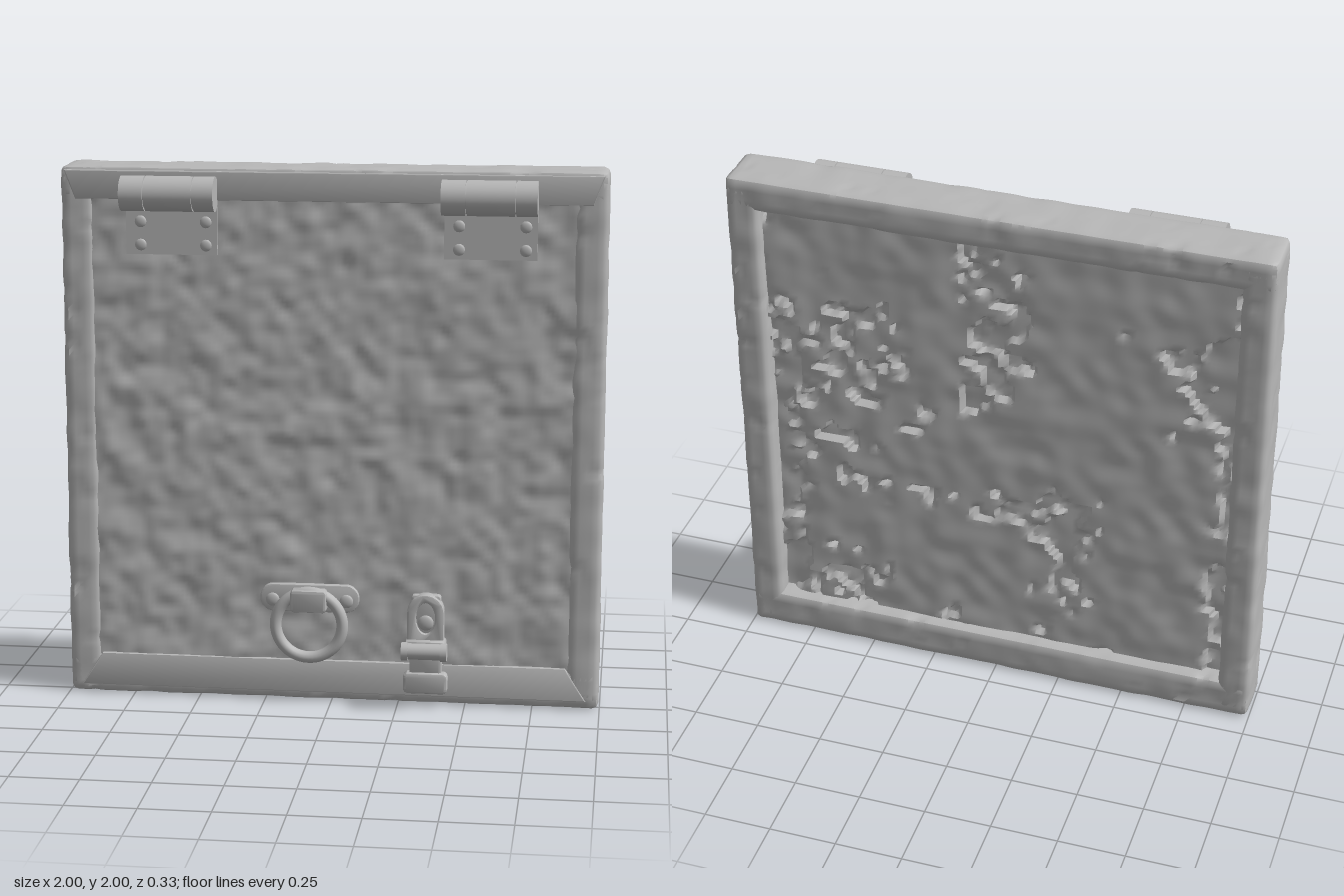
import * as THREE from 'three';
import { mergeVertices, toCreasedNormals } from 'three/addons/utils/BufferGeometryUtils.js';

const steel = new THREE.MeshStandardMaterial({ color: 0xb8b8b8 });
steel.name = 'grey metal';

// Seeded value noise, -1..1
function hash(i, j, k) {
  const s = Math.sin(i * 127.1 + j * 311.7 + k * 74.7) * 43758.5453;
  return (s - Math.floor(s)) * 2 - 1;
}
function noise(x, y, z) {
  const i = Math.floor(x), j = Math.floor(y), k = Math.floor(z);
  const f = (t) => t * t * (3 - 2 * t);
  const u = f(x - i), v = f(y - j), w = f(z - k);
  const mix = THREE.MathUtils.lerp;
  const plane = (c) => mix(
    mix(hash(i, j, c), hash(i + 1, j, c), u),
    mix(hash(i, j + 1, c), hash(i + 1, j + 1, c), u), v);
  return mix(plane(k), plane(k + 1), w);
}

function add(group, name, geometry, x = 0, y = 0, z = 0) {
  const mesh = new THREE.Mesh(geometry, steel);
  mesh.name = name;
  mesh.position.set(x, y, z);
  group.add(mesh);
  return mesh;
}

// Finely divided box whose vertices are moved by a rule, then smoothed
function mouldedBox(size, segments, rule) {
  let g = new THREE.BoxGeometry(...size, ...segments);
  g.deleteAttribute('uv');
  g.deleteAttribute('normal');
  g = mergeVertices(g);
  const p = g.attributes.position, v = new THREE.Vector3();
  for (let i = 0; i < p.count; i++) {
    rule(v.fromBufferAttribute(p, i));
    p.setXYZ(i, v.x, v.y, v.z);
  }
  return toCreasedNormals(g, 0.7);
}

// Frame rail with softened edges, small dents and chips
function rail(group, name, w, h, x, y) {
  const depth = 0.208, r = 0.024;
  const inner = new THREE.Vector3(w / 2 - r, h / 2 - r, depth / 2 - r);
  const low = inner.clone().negate();
  const seg = [w, h, depth].map((s) => Math.max(6, Math.round(s / 0.022)));
  const core = new THREE.Vector3();
  const g = mouldedBox([w, h, depth], seg, (v) => {
    core.copy(v).clamp(low, inner);
    v.sub(core);
    if (v.length() > r) v.setLength(r);
    const n = noise((core.x + x) * 13 + 5, (core.y + y) * 13, core.z * 13);
    const chip = Math.max(0, noise((core.x + x) * 22, (core.y + y) * 22 + 7, core.z * 22) - 0.5);
    v.multiplyScalar(1 + 0.14 * n - 0.9 * chip).add(core);
  });
  add(group, name, g, x, y, -0.061);
}

// Rounded outline centred on the origin
function roundedShape(w, h, r) {
  const s = new THREE.Shape(), a = w / 2 - r, b = h / 2 - r;
  s.absarc(a, b, r, 0, Math.PI / 2);
  s.absarc(-a, b, r, Math.PI / 2, Math.PI);
  s.absarc(-a, -b, r, Math.PI, Math.PI * 1.5);
  s.absarc(a, -b, r, Math.PI * 1.5, Math.PI * 2);
  s.closePath();
  return s;
}
function plate(shape, depth, bevel = 0.006) {
  return toCreasedNormals(new THREE.ExtrudeGeometry(shape, {
    depth: depth - bevel, bevelSize: bevel, bevelThickness: bevel,
    bevelOffset: -bevel, bevelSegments: 2, curveSegments: 10,
  }), 0.7);
}
function block(w, h, d, r = 0.012) {
  return plate(roundedShape(w, h, r), d, Math.min(0.01, r * 0.8));
}

// Mitred skin on the front of a rail
function lip(group, name, innerX, innerY, outerX, outerY) {
  const pts = [[-innerX, innerY], [innerX, innerY], [outerX, outerY], [-outerX, outerY]];
  const shape = new THREE.Shape(pts.map(([x, y]) => new THREE.Vector2(x, y)));
  add(group, name, plate(shape, 0.018, 0.005), 0, 0, 0.03);
}

function rivet(group, x, y, z, r = 0.022) {
  const g = new THREE.SphereGeometry(r, 16, 6, 0, Math.PI * 2, 0, Math.PI / 2);
  g.scale(1, 0.4, 1);
  g.rotateX(Math.PI / 2);
  add(group, 'rivet', g, x, y, z);
}
function barrel(group, name, r, x0, x1, y, z) {
  const g = new THREE.CylinderGeometry(r, r, x1 - x0, 32);
  g.rotateZ(Math.PI / 2);
  add(group, name, g, (x0 + x1) / 2, y, z);
}

function makeHinge(left) {
  const hinge = new THREE.Group();
  hinge.name = 'hinge';
  [[0, 0.087], [0.091, 0.264], [0.268, 0.343]].forEach(([a, b]) =>
    barrel(hinge, 'hingeKnuckle', 0.064, left + a, left + b, 1.907, 0.09));
  barrel(hinge, 'hingePin', 0.056, left + 0.01, left + 0.33, 1.907, 0.09);
  add(hinge, 'hingePlate', new THREE.BoxGeometry(0.335, 0.2, 0.02), left + 0.174, 1.78, 0.036);
  for (const x of [0.06, 0.3]) for (const y of [1.715, 1.8]) rivet(hinge, left + x, y, 0.045);
  return hinge;
}

function makeRingHandle() {
  const handle = new THREE.Group();
  handle.name = 'ringHandle';
  handle.position.set(-0.08, 0, 0);
  add(handle, 'ringBackplate', plate(roundedShape(0.37, 0.105, 0.05), 0.03), 0, 0.402, 0.028);
  add(handle, 'ring', new THREE.TorusGeometry(0.125, 0.022, 14, 48), 0, 0.305, 0.074);
  add(handle, 'ringClasp', block(0.135, 0.085, 0.065, 0.015), 0, 0.4, 0.04);
  for (const x of [-0.138, 0.138]) rivet(handle, x, 0.395, 0.057, 0.026);
  return handle;
}

function makeLatch() {
  const latch = new THREE.Group();
  latch.name = 'latch';
  latch.position.x = 0.355;
  // arched hasp with a slot
  const arch = new THREE.Shape();
  arch.moveTo(-0.068, 0.2);
  arch.lineTo(0.068, 0.2);
  arch.absarc(0, 0.367, 0.068, 0, Math.PI);
  arch.closePath();
  const slot = new THREE.Path();
  slot.absellipse(0, 0.345, 0.036, 0.06, 0, Math.PI * 2, true);
  arch.holes.push(slot);
  add(latch, 'hasp', plate(arch, 0.045), 0, 0, 0.038);
  add(latch, 'haspBase', block(0.11, 0.2, 0.035), 0, 0.33, 0.03);
  rivet(latch, 0, 0.325, 0.063, 0.03);
  // cross barrel with end collars
  barrel(latch, 'latchBarrel', 0.03, -0.08, 0.08, 0.232, 0.125);
  for (const x of [-0.072, 0.072]) barrel(latch, 'barrelCollar', 0.034, x - 0.012, x + 0.012, 0.232, 0.128);
  add(latch, 'barrelSupport', block(0.15, 0.065, 0.07), 0, 0.232, 0.038);
  add(latch, 'latchStrap', block(0.12, 0.12, 0.035), 0, 0.16, 0.038);
  add(latch, 'latchFoot', block(0.165, 0.08, 0.05, 0.02), 0, 0.095, 0.038);
  return latch;
}

export function createModel() {
  const model = new THREE.Group();
  model.name = 'hatchDoor';

  // Frame rails with mitred lips in front
  const frame = new THREE.Group();
  frame.name = 'frame';
  rail(frame, 'topRail', 1.99, 0.125, 0, 1.9375);
  rail(frame, 'bottomRail', 1.99, 0.15, 0, 0.08);
  for (const s of [-1, 1]) rail(frame, 'sideRail', 0.12, 1.96, s * 0.935, 1);
  lip(frame, 'topLip', 0.94, 1.88, 0.98, 1.985);
  lip(frame, 'bottomLip', 0.87, 0.16, 0.95, 0.035);
  model.add(frame);

  // Battered panel: nearly flush in front, recessed and flaking behind
  const panel = mouldedBox([1.8, 1.8, 0.1], [110, 110, 1], (v) => {
    const { x, y } = v;
    const fine = noise(x * 13, y * 13, 2);
    if (v.z > 0) v.z = 0.034 + 0.007 * fine + 0.004 * noise(x * 24, y * 24, 9);
    else {
      const flake = noise(x * 4 + 3, y * 4, 5) + 0.6 * noise(x * 11, y * 11, 7)
        + 0.7 * noise(x * 23, y * 23, 4) + THREE.MathUtils.smoothstep(Math.abs(x), 0.74, 0.88);
      v.z = -0.117 + 0.026 * THREE.MathUtils.smoothstep(flake, 0.45, 0.7) + 0.005 * fine;
    }
  });
  add(model, 'panel', panel, 0, 1.02, 0);

  model.add(makeHinge(-0.758), makeHinge(0.402), makeRingHandle(), makeLatch());
  return model;
}
